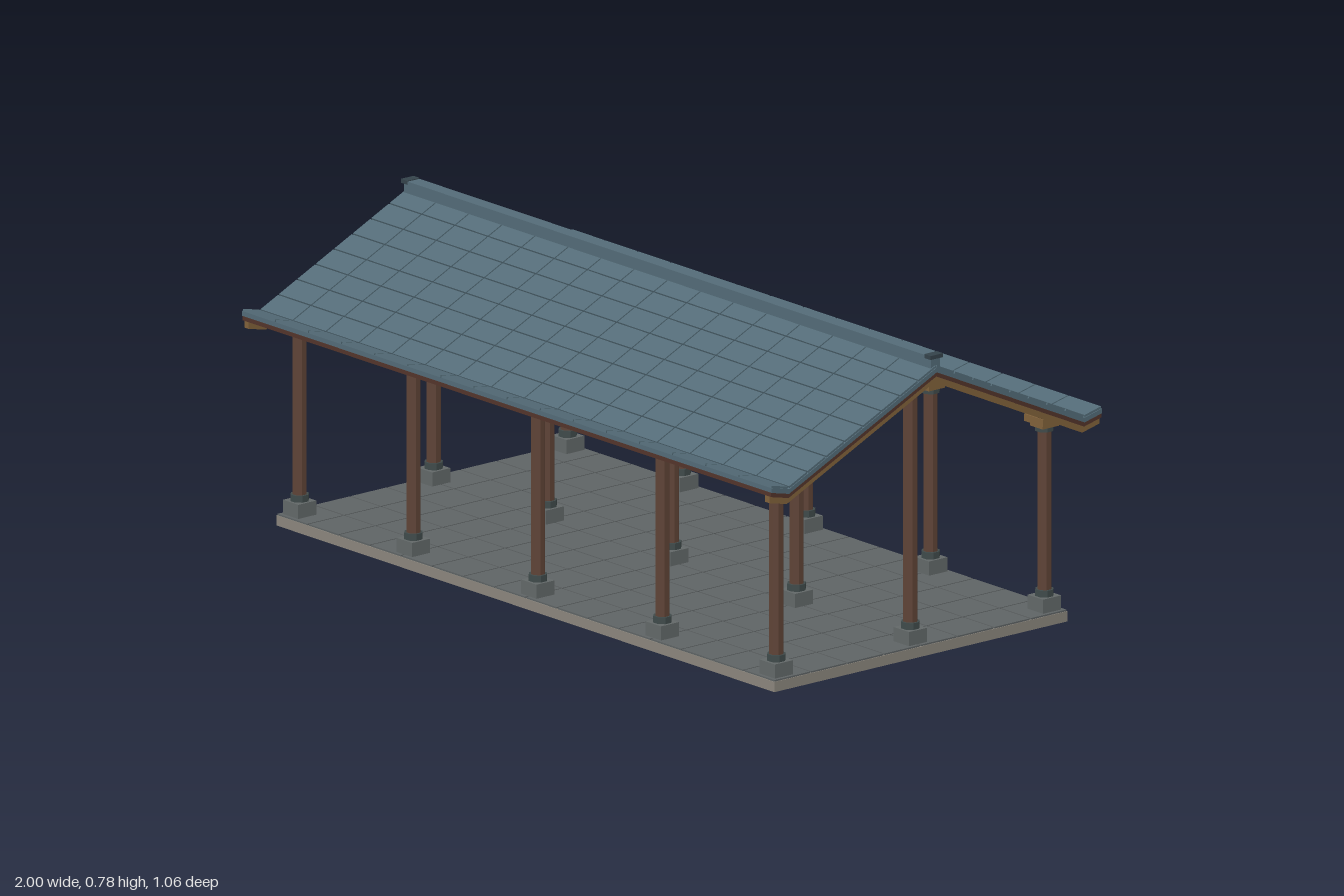
import * as THREE from 'three';
import { mergeGeometries } from 'three/addons/utils/BufferGeometryUtils.js';

const mat = (name, color) => {
  const m = new THREE.MeshStandardMaterial({ color, flatShading: true });
  m.name = name;
  return m;
};

export function createModel() {
  const M = {
    slab: mat('warm stone', 0x8a857c),
    paving: mat('paving grey', 0x5e6364),
    plinth: mat('plinth stone', 0x626868),
    collar: mat('dark collar', 0x3f4a4a),
    column: mat('column brown', 0x5f4336),
    wood: mat('golden wood', 0x80613a),
    boards: mat('dark red boards', 0x53342b),
    tile: mat('blue slate', 0x536b77),
    ridgeEnd: mat('ridge end slate', 0x34424a),
  };
  const model = new THREE.Group();
  model.name = 'pavilion';

  const add = (name, geometry, material, parent = model) => {
    const mesh = new THREE.Mesh(geometry, material);
    mesh.name = name;
    parent.add(mesh);
    return mesh;
  };
  const box = (w, h, d, x, y, z) => new THREE.BoxGeometry(w, h, d).translate(x, y, z);
  // Box given by its bottom and top heights
  const block = (w, d, y0, y1) => box(w, y1 - y0, d, 0, (y0 + y1) / 2, 0);
  // Eight-sided post with flats facing the axes; w is the width across flats
  const post = (w, y0, y1) => {
    const r = w / 2 / Math.cos(Math.PI / 8);
    return new THREE.CylinderGeometry(r, r, y1 - y0, 8)
      .rotateY(Math.PI / 8).translate(0, (y0 + y1) / 2, 0);
  };

  // Stone platform with paving slabs
  add('platform', block(1.88, 0.94, 0, 0.026), M.slab);
  const paving = [];
  const step = 1.88 / 16;
  for (let i = 0; i < 16; i++) {
    for (let j = 0; j < 8; j++) {
      paving.push(box(step - 0.004, 0.004, step - 0.004,
        -0.94 + (i + 0.5) * step, 0.028, -0.47 + (j + 0.5) * step));
    }
  }
  add('paving', mergeGeometries(paving), M.paving);

  // Three rows of five columns, the middle row taller
  for (const z of [-0.43, 0, 0.43]) {
    const top = z === 0 ? 0.682 : 0.487;
    for (const x of [-0.9, -0.47, 0, 0.47, 0.9]) {
      const g = new THREE.Group();
      g.name = 'column';
      g.position.set(x, 0, z);
      add('plinth', block(0.058, 0.058, 0.028, 0.066), M.plinth, g);
      add('baseCollar', post(0.044, 0.066, 0.083), M.collar, g);
      add('shaft', post(0.034, 0.083, top), M.column, g);
      add('topCollar', post(0.044, top, top + 0.011), M.collar, g);
      add('bracketNeck', block(0.048, 0.052, top + 0.011, top + 0.022), M.wood, g);
      add('bracket', block(0.07, 0.07, top + 0.022, top + 0.04), M.wood, g);
      model.add(g);
    }
  }

  // Roof line from ridge to valley to flared eave, as (z, y)
  const half = [[0, 0.757], [0.474, 0.538], [0.53, 0.551]];
  const line = [...half.slice(1).reverse().map(([z, y]) => [-z, y]), ...half];
  // Sheet following the roof line between two vertical drops
  const roofSheet = (drop0, drop1, length, x = 0) => {
    const pts = [
      ...line.map(([z, y]) => new THREE.Vector2(z, y - drop0)),
      ...line.map(([z, y]) => new THREE.Vector2(z, y - drop1)).reverse(),
    ];
    return new THREE.ExtrudeGeometry(new THREE.Shape(pts), { depth: length, bevelEnabled: false })
      .translate(0, 0, -length / 2).rotateY(Math.PI / 2).translate(x, 0, 0);
  };
  add('tileBed', roofSheet(0.006, 0.018, 2), M.tile);
  add('roofBoards', roofSheet(0.018, 0.029, 1.996), M.boards);
  for (const s of [-1, 1]) {
    add('gableBoard', roofSheet(0.029, 0.046, 0.016, s * 0.983), M.wood);
  }

  // Roof tiles in rows down each slope, with one row on the flared eave
  const tiles = [];
  const cols = 16, w = 2 / cols;
  const layTiles = (a, b, rows) => {
    const dz = b[0] - a[0], dy = b[1] - a[1];
    const len = Math.hypot(dz, dy) / rows;
    for (let r = 0; r < rows; r++) {
      const t = (r + 0.5) / rows;
      for (let c = 0; c < cols; c++) {
        tiles.push(new THREE.BoxGeometry(w - 0.004, 0.006, len - 0.004)
          .translate(0, -0.003, 0)
          .rotateX(-Math.atan(dy / dz))
          .translate(-1 + (c + 0.5) * w, a[1] + dy * t, a[0] + dz * t));
      }
    }
  };
  for (const s of [-1, 1]) {
    const [ridge, valley, eave] = half.map(([z, y]) => [s * z, y]);
    layTiles(ridge, valley, 8);
    layTiles(valley, eave, 1);
  }
  add('roofTiles', mergeGeometries(tiles), M.tile);

  // Ridge beam, its cap and the end blocks
  add('ridge', box(1.99, 0.034, 0.03, 0, 0.758, 0), M.tile);
  add('ridgeCap', box(1.996, 0.008, 0.038, 0, 0.778, 0), M.tile);
  for (const s of [-1, 1]) {
    add('ridgeEnd', box(0.024, 0.01, 0.04, s * 0.988, 0.779, 0), M.ridgeEnd);
  }
  return model;
}
